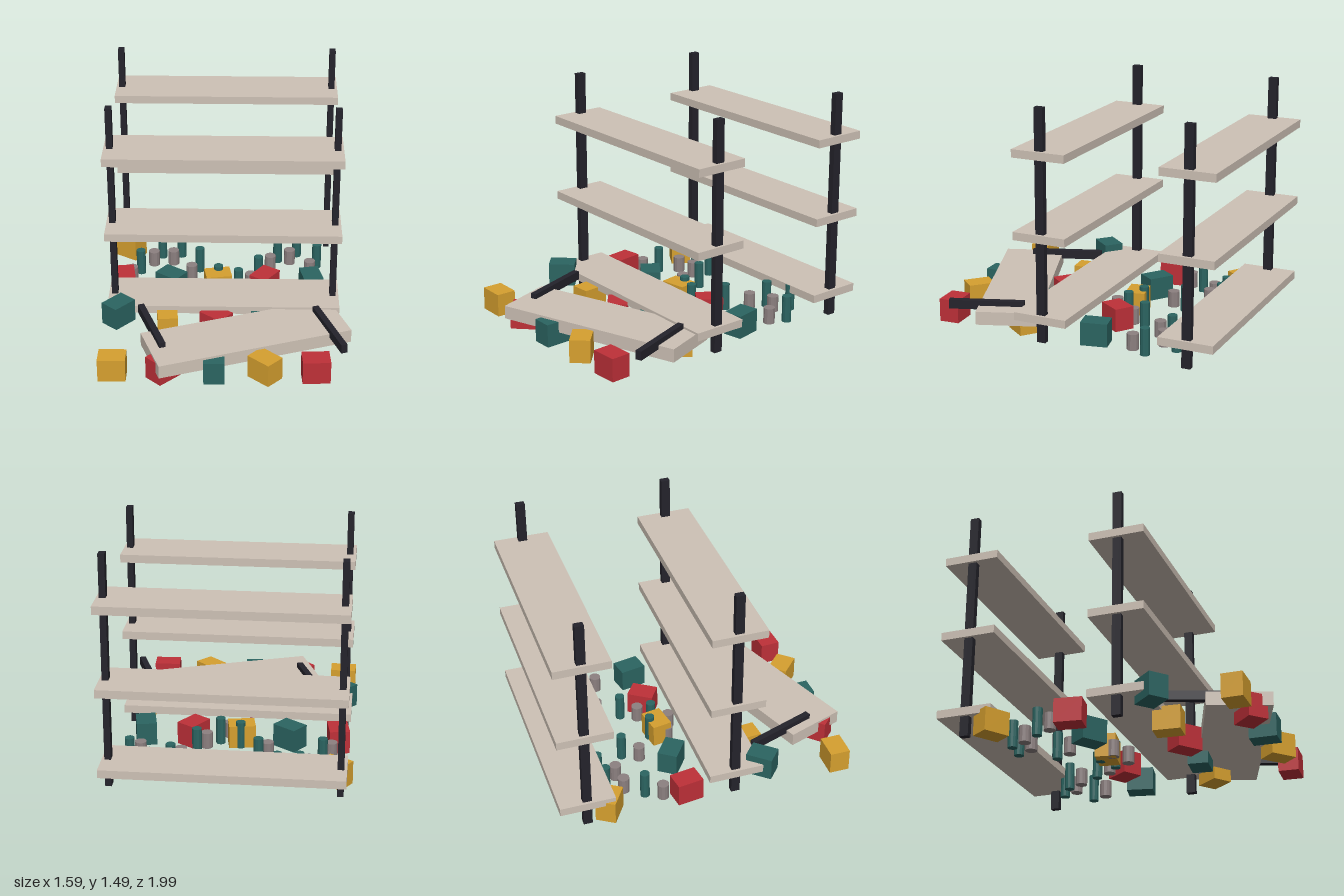
import * as THREE from 'three';

const mat = (color) => new THREE.MeshStandardMaterial({ color, flatShading: true });

export function createModel() {
  const model = new THREE.Group();
  model.name = 'collapsedShelving';

  const wood = mat(0xcdc1b5), metal = mat(0x24232b), can = mat(0x8c8080);
  const yellow = mat(0xd6a02f), red = mat(0xbe3038), teal = mat(0x2b6461);
  const DEG = Math.PI / 180;

  const add = (parent, name, geometry, material, x, y, z, turn = 0) => {
    const mesh = new THREE.Mesh(geometry, material);
    mesh.name = name;
    mesh.position.set(x, y, z);
    mesh.rotation.y = turn;
    parent.add(mesh);
    return mesh;
  };

  // Two standing racks: two posts and three shelves each
  const postGeo = new THREE.BoxGeometry(0.04, 1.49, 0.057);
  const shelfGeo = new THREE.BoxGeometry(1.49, 0.052, 0.355);
  for (const [name, z] of [['frontRack', 0.146], ['backRack', -0.822]]) {
    const rack = new THREE.Group();
    rack.name = name;
    rack.position.set(-0.02, 0, z);
    for (const x of [-0.707, 0.707]) add(rack, 'post', postGeo, metal, x, 0.745, 0);
    for (const y of [0.153, 0.674, 1.195]) add(rack, 'shelf', shelfGeo, wood, 0, y, 0);
    model.add(rack);
  }

  // Fallen shelf lying askew, with two loose bars across it
  const fallAngle = 20 * DEG;
  add(model, 'fallenShelf', new THREE.BoxGeometry(1.26, 0.086, 0.395), wood, 0.13, 0.122, 0.592, fallAngle);
  const barGeo = new THREE.BoxGeometry(0.04, 0.058, 0.48);
  for (const x of [-0.465, 0.652]) add(model, 'fallenBar', barGeo, metal, x, 0.169, 0.558, fallAngle);

  // Scattered boxes in rows of five, each turned a little further
  const boxGeo = new THREE.BoxGeometry(0.172, 0.15, 0.13);
  const boxColors = [yellow, red, teal];
  for (let i = 0; i < 16; i++) {
    const x = -0.69 + (i % 5) * 0.3125;
    const z = 0.85 - Math.floor(i / 5) * 0.506;
    const y = i === 5 ? 0.15 : 0.075;
    add(model, 'box', boxGeo, boxColors[i % 3], x, y, z, i * 0.8);
  }

  // Cans, each with a taller bottle just behind it
  const canGeo = new THREE.CylinderGeometry(0.038, 0.038, 0.105, 12);
  const bottleGeo = new THREE.CylinderGeometry(0.031, 0.031, 0.176, 12);
  const canZ = [-0.305, -0.525, -0.54, -0.34, -0.105, -0.055, -0.23, -0.477, -0.562, -0.41];
  canZ.forEach((z, i) => {
    const x = -0.652 + i * 0.1343;
    add(model, 'can', canGeo, can, x, 0.0525, z);
    add(model, 'bottle', bottleGeo, teal, x + 0.052, 0.088, z - 0.104);
  });

  return model;
}
